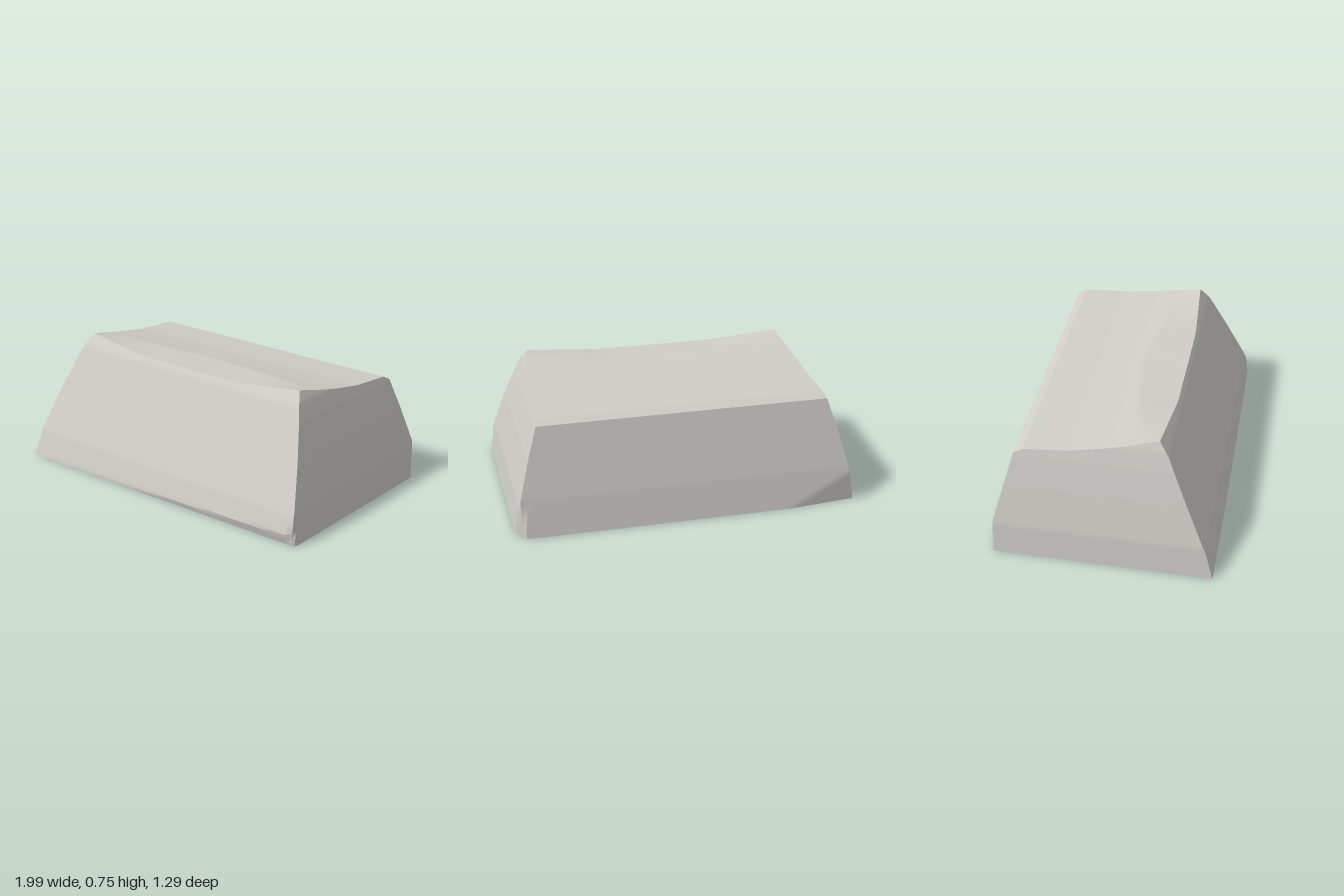
import * as THREE from 'three';
import { toCreasedNormals } from 'three/addons/utils/BufferGeometryUtils.js';

// Piecewise linear curve through [input, output] pairs
const curve = (points) => (s) => {
  let i = 1;
  while (i < points.length - 1 && s > points[i][0]) i++;
  const [a, b] = [points[i - 1], points[i]];
  return a[1] + ((s - a[0]) / (b[0] - a[0])) * (b[1] - a[1]);
};

// Wall profiles by height, and height of the side rims from back (0) to front (1)
const halfWidth = curve([[0, 0.995], [0.18, 0.97], [0.42, 0.905], [0.6, 0.848], [0.7, 0.81], [0.755, 0.78]]);
const frontZ = curve([[0, 0.645], [0.16, 0.597], [0.68, 0.36], [0.755, 0.305]]);
const backZ = curve([[0, -0.645], [0.21, -0.602], [0.615, -0.495], [0.755, -0.455]]);
const rim = curve([[0, 0.61], [0.05, 0.635], [0.35, 0.655], [0.6, 0.69], [1, 0.755]]);

// Worn corners and the undercut front foot: planes [normal x, y, z, distance]
const chips = [
  [0.85, 0, -0.53, 1.136],
  [-0.1, 0, -0.995, 0.702],
  [0.49, 0, 0.87, 1.009],
  [0.008, 0, 1, 0.637],
  [0.024, -0.3, 1, 0.632],
];

// Top height, with a shallow hollow behind the middle of the front edge
function topHeight(u, t) {
  const a = Math.abs(u);
  const start = 0.66 + 0.15 * a;
  const hollow = Math.max(0, (t - start) / (1 - start));
  return rim(t) - 0.045 * Math.min(1, (1 - a) / 0.57) * hollow;
}

// Point of the block: u runs left to right, t back to front
function point(u, t, y) {
  let x = u * halfWidth(y);
  let z = THREE.MathUtils.lerp(backZ(y), frontZ(y), t);
  for (const [nx, ny, nz, d] of chips) {
    const over = Math.max(0, (nx * x + ny * y + nz * z - d) / (nx * nx + nz * nz));
    x -= over * nx;
    z -= over * nz;
  }
  return [x, y, z];
}

// Surface patch over a grid of a, b in 0..1
function patch(fn, columns, rows) {
  const positions = [], index = [];
  for (let j = 0; j <= rows; j++) {
    for (let i = 0; i <= columns; i++) positions.push(...fn(i / columns, j / rows));
  }
  for (let j = 0; j < rows; j++) {
    for (let i = 0; i < columns; i++) {
      const p = j * (columns + 1) + i, q = p + columns + 1;
      index.push(p, p + 1, q + 1, p, q + 1, q);
    }
  }
  const geometry = new THREE.BufferGeometry();
  geometry.setAttribute('position', new THREE.Float32BufferAttribute(positions, 3));
  geometry.setIndex(index);
  return toCreasedNormals(geometry, 0.3);
}

export function createModel() {
  const group = new THREE.Group();
  group.name = 'stoneBlock';
  const stone = new THREE.MeshStandardMaterial({ color: 0xd0cdc8 });
  stone.name = 'paleStone';
  const underside = new THREE.MeshStandardMaterial({ color: 0x787878 });
  underside.name = 'darkUnderside';

  const wall = (u, t, v) => point(u, t, v * topHeight(u, t));
  const faces = {
    frontFace: [(a, v) => wall(2 * a - 1, 1, v), 48, stone],
    backFace: [(a, v) => wall(1 - 2 * a, 0, v), 48, stone],
    leftFace: [(a, v) => wall(1, 1 - a, v), 48, stone],
    rightFace: [(a, v) => wall(-1, a, v), 48, stone],
    hollowedTop: [(a, b) => point(2 * a - 1, 1 - b, topHeight(2 * a - 1, 1 - b)), 40, stone],
    base: [(a, b) => point(2 * a - 1, b, 0), 40, underside],
  };
  for (const [name, [fn, rows, material]] of Object.entries(faces)) {
    const mesh = new THREE.Mesh(patch(fn, 40, rows), material);
    mesh.name = name;
    group.add(mesh);
  }
  return group;
}
